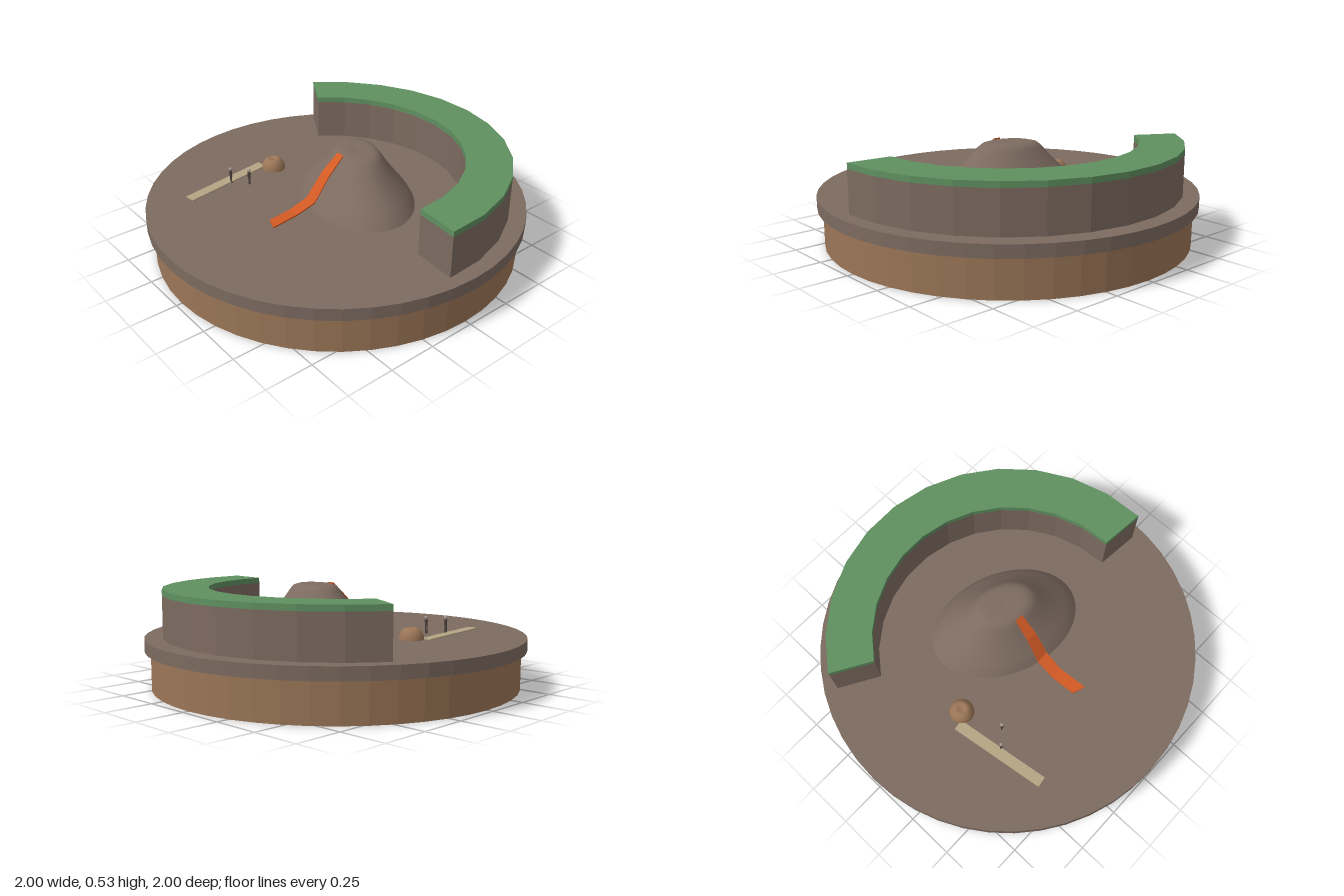
import * as THREE from 'three';

const mat = (name, color) => {
  const m = new THREE.MeshStandardMaterial({ color });
  m.name = name;
  return m;
};

// faceted normals
function facet(geo) {
  const g = geo.index ? geo.toNonIndexed() : geo;
  g.computeVertexNormals();
  return g;
}

export function createModel() {
  const root = new THREE.Group();
  root.name = 'landscape';
  const earth = mat('earthBrown', 0x9b7657);
  const ground = mat('groundBrown', 0x7d6b60);
  const grass = mat('grassGreen', 0x5f9060);
  const orange = mat('slideOrange', 0xd25a24);
  const sand = mat('pathSand', 0xb5a585);
  const dark = mat('figureDark', 0x4f4640);
  const pale = mat('figurePale', 0xa8998c);
  const GROUND = 0.265;

  const add = (name, geo, material, x = 0, y = 0, z = 0, parent = root) => {
    const m = new THREE.Mesh(geo, material);
    m.name = name;
    m.position.set(x, y, z);
    parent.add(m);
    return m;
  };
  const lathe = (pts, seg) =>
    new THREE.LatheGeometry(pts.map(([r, y]) => new THREE.Vector2(r, y)), seg);

  // Round plinth and ground disc
  add('plinth', facet(new THREE.CylinderGeometry(0.97, 0.97, 0.2, 48)), earth, 0, 0.1, 0);
  add('groundDisc', facet(new THREE.CylinderGeometry(1, 1, 0.065, 48)), ground, 0, 0.2325, 0);

  // Curved ridge with a grass top, slightly wider at its ends
  const N = 12;
  const arc = (radius, flare) => Array.from({ length: N + 1 }, (_, i) => {
    const t = i / N;
    const a = THREE.MathUtils.degToRad(-5.2 + t * 154.6);
    const r = radius + flare * (2 * t - 1) ** 2;
    return new THREE.Vector2(r * Math.cos(a), r * Math.sin(a));
  });
  const ridge = new THREE.Shape([...arc(0.906, 0.023), ...arc(0.668, 0.028).reverse()]);
  const slab = (depth) =>
    new THREE.ExtrudeGeometry(ridge, { depth, bevelEnabled: false }).rotateX(-Math.PI / 2);
  add('ridgeWall', slab(0.22), ground, 0, GROUND, 0);
  add('ridgeGrass', slab(0.03), grass, 0, 0.485, 0);

  // Oval hill, turned about the vertical
  const hill = add('hill', lathe([
    [1, 0], [0.93, 0.035], [0.85, 0.066], [0.72, 0.112], [0.6, 0.158], [0.5, 0.2],
    [0.42, 0.236], [0.36, 0.255], [0.28, 0.263], [0.16, 0.264], [0, 0.26],
  ], 48), ground, 0.067, GROUND, -0.088);
  hill.scale.set(0.407, 1, 0.286);
  hill.rotation.y = THREE.MathUtils.degToRad(-20);

  // Slide: a thin plate bent through [x, y, z, width] stations
  const stations = [
    [0.06, 0.525, 0.02, 0.045], [0.055, 0.44, 0.115, 0.06], [0.045, 0.315, 0.205, 0.068],
    [0.04, 0.282, 0.31, 0.064], [0.052, 0.276, 0.458, 0.068],
  ];
  const plate = new THREE.BoxGeometry(1, 0.008, 1, 1, 1, 4);
  const p = plate.attributes.position;
  for (let i = 0; i < p.count; i++) {
    const k = Math.round((p.getZ(i) + 0.5) * 4);
    const [x, y, z, w] = stations[k];
    const side = p.getX(i);
    p.setXYZ(i, x + side * w, y + p.getY(i), z + (k === 4 ? side * 0.025 : 0));
  }
  add('slide', facet(plate), orange);

  // Footpath
  const path = add('footpath', new THREE.BoxGeometry(0.057, 0.006, 0.52), sand, -0.473, GROUND + 0.003, 0.383);
  path.rotation.y = Math.atan2(0.075, 0.515);

  // Domed hut with a dimpled top
  add('hut', lathe([
    [0.065, 0], [0.063, 0.018], [0.055, 0.037], [0.043, 0.051], [0.032, 0.058],
    [0.024, 0.058], [0.014, 0.053], [0, 0.051],
  ], 24), earth, -0.445, GROUND, 0.09);

  // Two standing figures
  for (const [x, z] of [[-0.447, 0.372], [-0.37, 0.305]]) {
    const figure = new THREE.Group();
    figure.name = 'figure';
    figure.position.set(x, GROUND, z);
    root.add(figure);
    for (const s of [-1, 1])
      add('leg', new THREE.CylinderGeometry(0.003, 0.003, 0.04, 8), dark, s * 0.0045, 0.02, 0, figure);
    add('torso', new THREE.CylinderGeometry(0.009, 0.007, 0.035, 10), dark, 0, 0.0555, 0, figure);
    add('head', new THREE.SphereGeometry(0.0095, 12, 8), pale, 0, 0.084, 0, figure);
  }
  return root;
}
